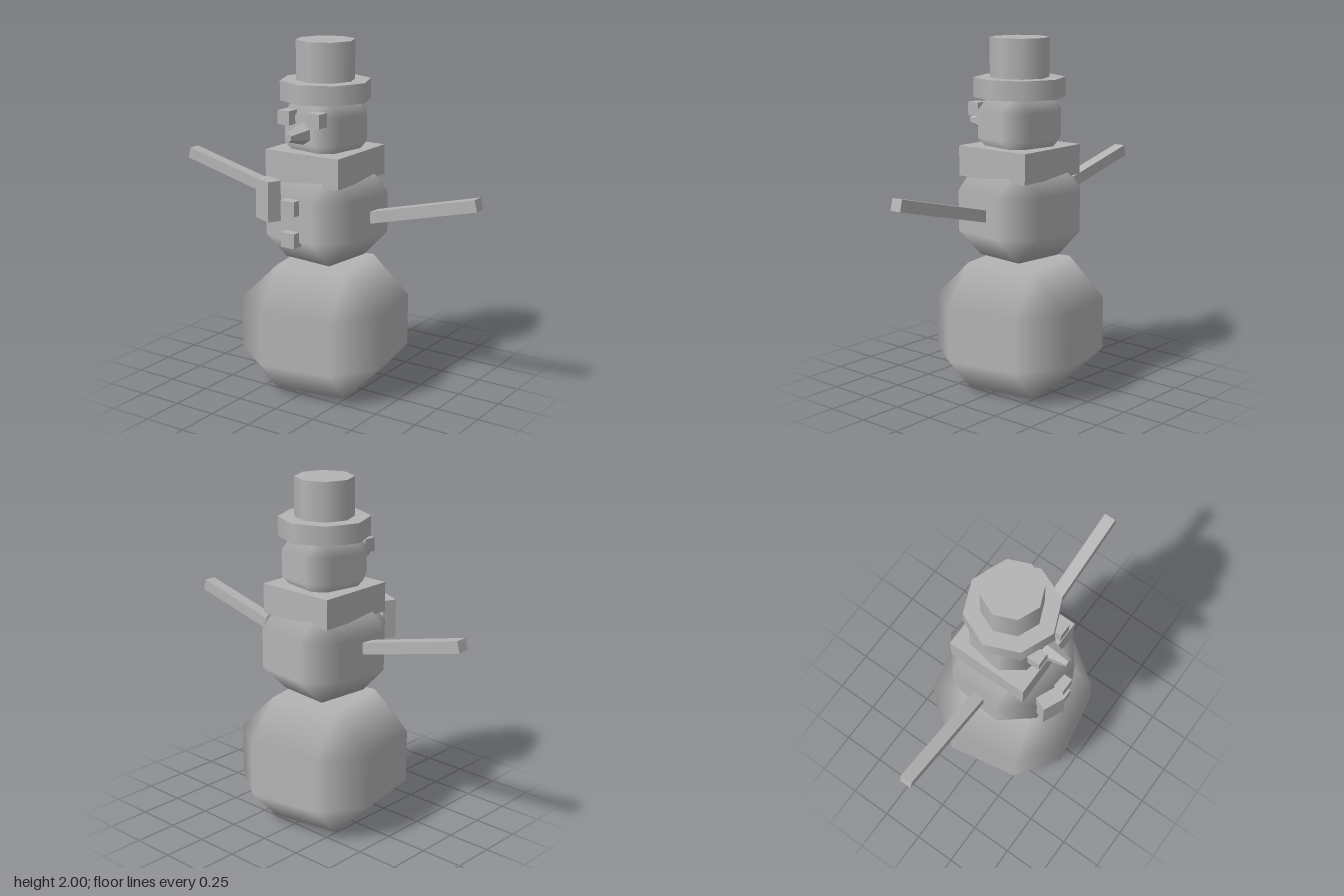
import * as THREE from 'three';
import { ConvexGeometry } from 'three/addons/geometries/ConvexGeometry.js';

// Box with single-step bevels: flat faces keep their axis normals, bevels blend between them
function beveledBox(w, h, d, bevel) {
  const half = [w / 2, h / 2, d / 2];
  const points = [];
  for (let axis = 0; axis < 3; axis++) {
    for (const sx of [-1, 1]) for (const sy of [-1, 1]) for (const sz of [-1, 1]) {
      const s = [sx, sy, sz];
      const p = half.map((v, i) => s[i] * (i === axis ? v : v - bevel));
      points.push(new THREE.Vector3(...p));
    }
  }
  const geometry = new ConvexGeometry(points);
  const pos = geometry.attributes.position;
  const normal = geometry.attributes.normal;
  for (let i = 0; i < pos.count; i++) {
    const p = [pos.getX(i), pos.getY(i), pos.getZ(i)];
    normal.setXYZ(i, ...p.map((v, k) => (Math.abs(v) > half[k] - bevel / 2 ? Math.sign(v) : 0)));
  }
  return geometry;
}

export function createModel() {
  const model = new THREE.Group();
  model.name = 'snowman';
  const grey = new THREE.MeshStandardMaterial({ color: 0xb4b4b4 });
  grey.name = 'plain grey';
  const deg = THREE.MathUtils.degToRad;

  function add(name, geometry, x, y, z) {
    const mesh = new THREE.Mesh(geometry, grey);
    mesh.name = name;
    mesh.position.set(x, y, z);
    model.add(mesh);
    return mesh;
  }
  const box = (w, h, d) => new THREE.BoxGeometry(w, h, d);

  // Three snow blocks: same shape at three scales, each turned a little
  const blocks = [
    ['lowerBody', 1, 0.37, 10.35],
    ['upperBody', 0.745, 1.044, -6],
    ['head', 0.5, 1.525, -10],
  ];
  for (const [name, s, y, turn] of blocks) {
    add(name, beveledBox(0.858 * s, 0.74 * s, 0.858 * s, 0.218 * s), 0, y, 0).rotation.y = deg(turn);
  }

  // Scarf and its hanging tail
  add('scarf', box(0.48, 0.17, 0.48), 0, 1.315, 0);
  add('scarfTail', box(0.135, 0.225, 0.08), -0.14, 1.153, 0.354).rotation.y = deg(-24);

  // Hat
  add('hatBrim', new THREE.CylinderGeometry(0.256, 0.256, 0.11, 8), 0, 1.725, 0);
  add('hatCrown', new THREE.CylinderGeometry(0.166, 0.166, 0.24, 8), 0, 1.88, 0);

  // Face
  for (const side of [-1, 1]) {
    add(side > 0 ? 'leftEye' : 'rightEye', box(0.076, 0.078, 0.076), side * 0.098, 1.595, 0.227);
  }
  const nose = new THREE.CylinderGeometry(0.023, 0.066, 0.16, 6).toNonIndexed();
  nose.computeVertexNormals();
  nose.rotateX(Math.PI / 2);
  add('nose', nose, 0, 1.51, 0.28);

  // Buttons
  for (const y of [0.943, 1.122]) add('button', box(0.088, 0.084, 0.088), 0, y, 0.328);

  // Arms, the right one set slightly higher
  for (const side of [-1, 1]) {
    const arm = add(side > 0 ? 'leftArm' : 'rightArm', box(0.67, 0.066, 0.07), side * 0.638, side > 0 ? 1.124 : 1.174, 0);
    arm.rotation.z = side * deg(14);
  }
  return model;
}
